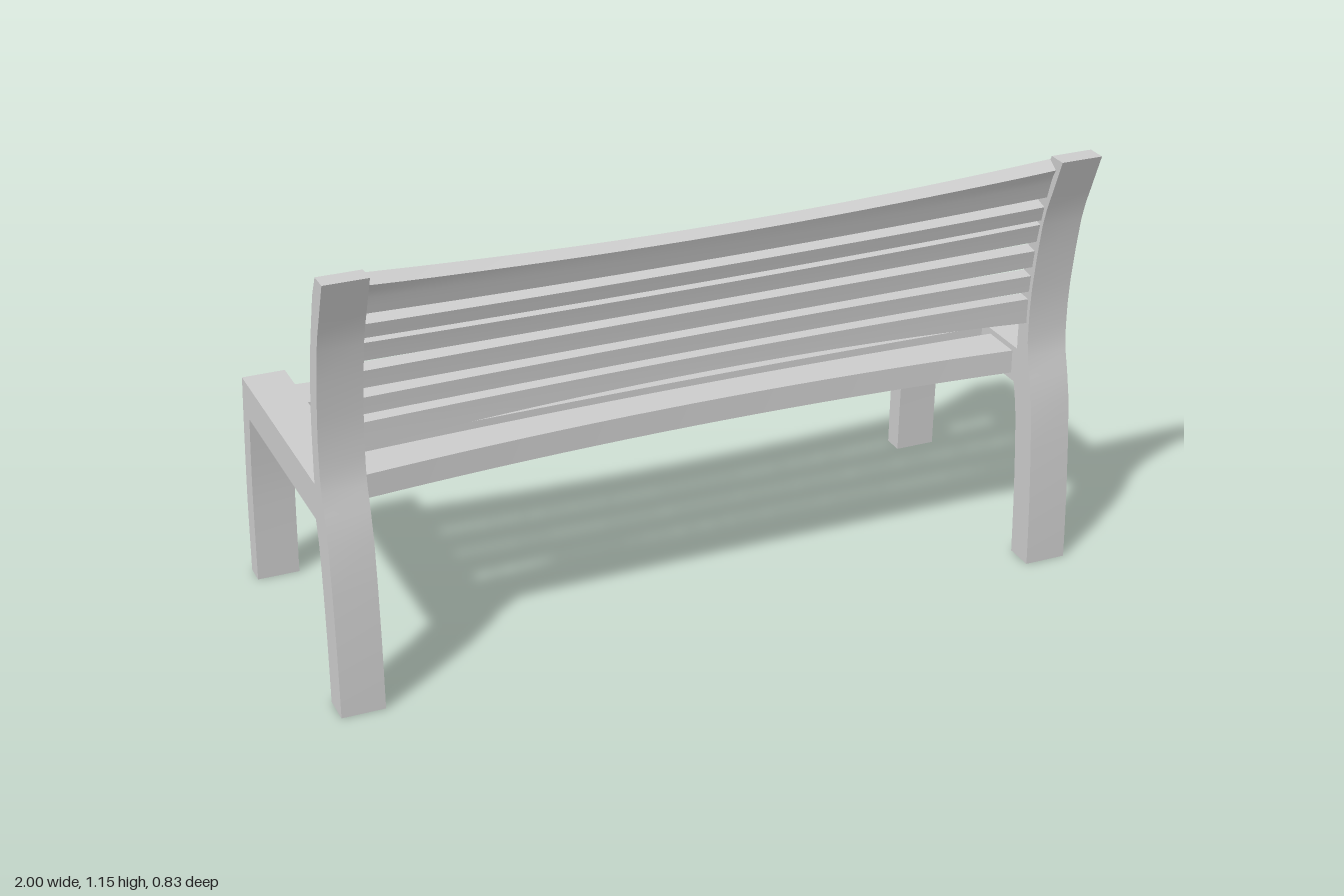
import * as THREE from 'three';
import { toCreasedNormals } from 'three/addons/utils/BufferGeometryUtils.js';

const material = new THREE.MeshStandardMaterial({ color: 0xcccccc });
const HALF = 0.892; // inner half-span between the side frames
const lerp = THREE.MathUtils.lerp;

// Side frame profile, as [z, y]: smooth runs joined at sharp corners
const backFront = [[0.257, 0.58], [0.257, 0.636], [0.263, 0.774], [0.287, 0.927], [0.335, 1.095]];
const backRear = [[0.416, 1.15], [0.376, 1.05], [0.343, 0.957], [0.312, 0.774], [0.306, 0.66], [0.312, 0.58],
  [0.343, 0.45], [0.364, 0.19], [0.37, 0]];
const profileRuns = [
  backFront,
  [[0.364, 1.15]],
  backRear,
  [[0.29, 0], [0.284, 0.19], [0.269, 0.39], [0.25, 0.483]],
  [[-0.327, 0.483], [-0.349, 0.27], [-0.358, 0]],
  [[-0.415, 0], [-0.409, 0.21], [-0.391, 0.42], [-0.373, 0.58]],
];

function smoothRun(points, divisions = 16) {
  const v = points.map(([z, y]) => new THREE.Vector2(z, y));
  return v.length < 3 ? v : new THREE.SplineCurve(v).getPoints(divisions);
}

function createFrame() {
  const outline = profileRuns.flatMap((run) => smoothRun(run)).map((p) => new THREE.Vector2(-p.x, p.y));
  const geometry = new THREE.ExtrudeGeometry(new THREE.Shape(outline), { depth: 0.112, bevelEnabled: false });
  geometry.rotateY(Math.PI / 2);
  return toCreasedNormals(geometry, 0.4);
}

// Slat lofted along x; section(c) returns a [y, z] ring, c runs 0 at the middle to 1 at the ends
function createSlat(section, steps = 20) {
  const positions = [], index = [];
  let n = 0;
  for (let i = 0; i <= steps; i++) {
    const x = lerp(-HALF, HALF, i / steps);
    const ring = section((x / HALF) ** 2);
    n = ring.length;
    ring.forEach(([y, z]) => positions.push(x, y, z));
  }
  for (let i = 0; i < steps; i++) {
    for (let j = 0; j < n; j++) {
      const a = i * n + j, d = i * n + ((j + 1) % n);
      index.push(a, a + n, d + n, a, d + n, d);
    }
  }
  const geometry = new THREE.BufferGeometry();
  geometry.setAttribute('position', new THREE.Float32BufferAttribute(positions, 3));
  geometry.setIndex(index);
  return toCreasedNormals(geometry, 0.5);
}

// z of the backrest's front face at height y
const frontPoints = smoothRun([...backFront, [0.364, 1.15]], 40);
function frontZ(y) {
  let i = 1;
  while (i < frontPoints.length - 1 && frontPoints[i].y < y) i++;
  const a = frontPoints[i - 1], b = frontPoints[i];
  return lerp(a.x, b.x, (y - a.y) / (b.y - a.y));
}

// Curved section of a back slat between heights y0 and y1, ends cut square to the curve
function backSection(y0, y1, shift) {
  const thickness = 0.036, count = 5;
  const front = [], back = [];
  const slopeAt = (y) => Math.atan((frontZ(y + 0.01) - frontZ(y - 0.01)) / 0.02);
  const low = y0 + thickness * Math.sin(slopeAt(y0));
  for (let k = 0; k < count; k++) {
    const y = lerp(y1, low, k / (count - 1));
    const angle = slopeAt(y), z = frontZ(y) + shift;
    front.push([y, z]);
    back.unshift([y - thickness * Math.sin(angle), z + thickness * Math.cos(angle)]);
  }
  return [...front, ...back];
}

export function createModel() {
  const group = new THREE.Group();
  const add = (geometry, name, x = 0) => {
    const mesh = new THREE.Mesh(geometry, material);
    mesh.name = name;
    mesh.position.x = x;
    group.add(mesh);
  };

  // Side frames: legs, seat rail and back post in one piece
  const frame = createFrame();
  add(frame, 'leftFrame', 0.888);
  add(frame, 'rightFrame', -1);

  // Seat slats: front and rear z at the middle, then at the ends
  const seatSlats = [
    [-0.27, -0.172, -0.313, -0.2],
    [-0.136, -0.055, -0.155, -0.06],
    [-0.02, 0.06, -0.022, 0.075],
    [0.095, 0.19, 0.12, 0.235],
  ];
  seatSlats.forEach(([f0, r0, f1, r1], i) => {
    add(createSlat((c) => {
      const f = lerp(f0, f1, c), r = lerp(r0, r1, c);
      return [[0.565, r], [0.565, f], [0.502, f], [0.502, r]];
    }), `seatSlat${i + 1}`);
  });

  // Back slats: bottom and top y at the middle, then at the ends
  const backSlats = [
    [0.706, 0.754, 0.668, 0.738],
    [0.77, 0.818, 0.758, 0.807],
    [0.834, 0.888, 0.829, 0.882],
    [0.904, 0.958, 0.904, 0.963],
    [0.964, 1.012, 0.968, 1.017],
    [1.028, 1.108, 1.037, 1.14],
  ];
  backSlats.forEach(([b0, t0, b1, t1], i) => {
    add(createSlat((c) => backSection(lerp(b0, b1, c), lerp(t0, t1, c), lerp(0.008, 0, c))),
      `backSlat${i + 1}`);
  });
  return group;
}
